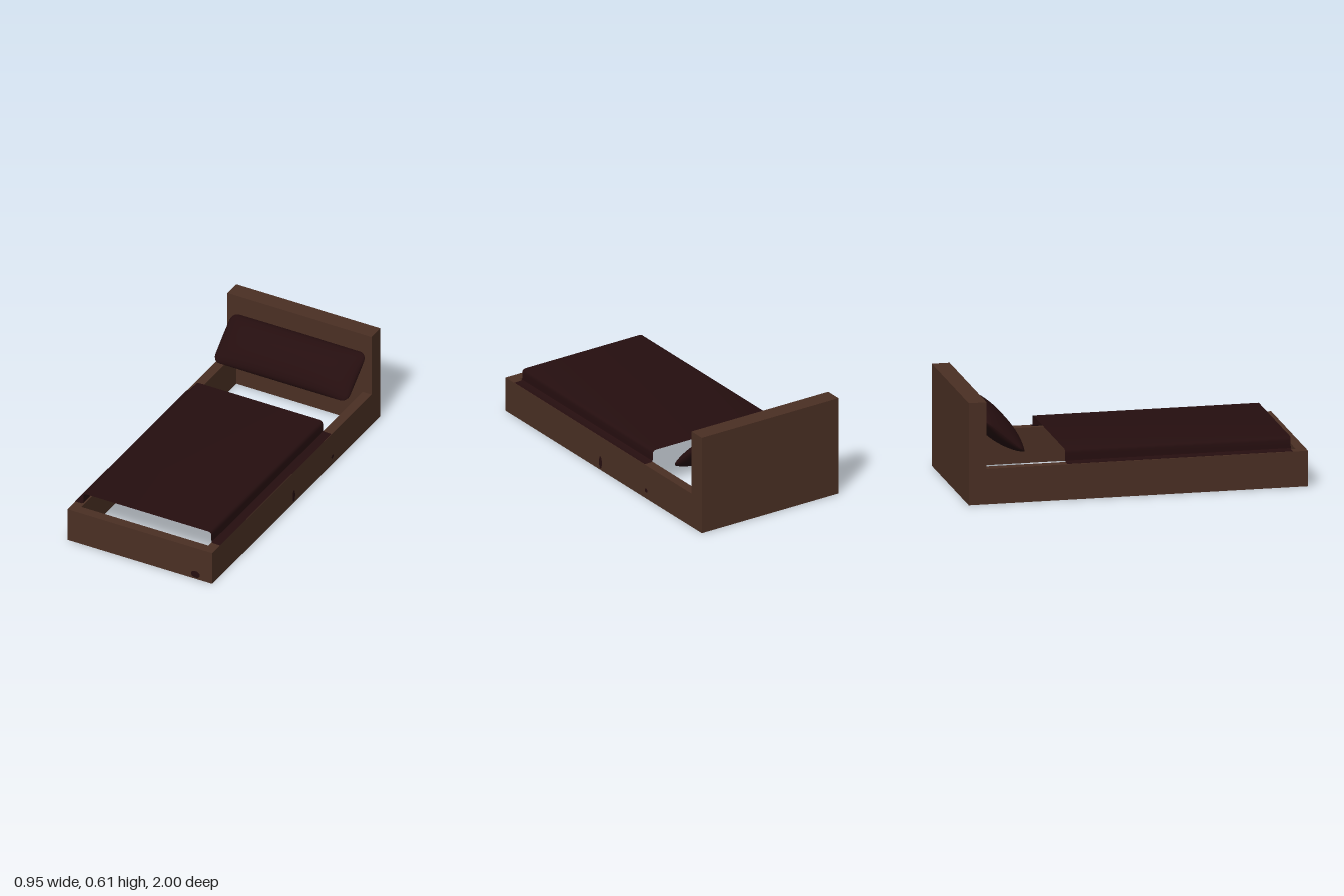
import * as THREE from 'three';
import { toCreasedNormals } from 'three/addons/utils/BufferGeometryUtils.js';

export function createModel() {
  const bed = new THREE.Group();
  bed.name = 'bed';
  const wood = new THREE.MeshStandardMaterial({ color: 0x4a2f23 });
  wood.name = 'brown wood';
  const cloth = new THREE.MeshStandardMaterial({ color: 0x250e0f, side: THREE.DoubleSide });
  cloth.name = 'dark maroon cloth';

  const add = (name, geometry, material, parent = bed) => {
    const mesh = new THREE.Mesh(geometry, material);
    mesh.name = name;
    parent.add(mesh);
    return mesh;
  };
  const board = (name, w, h, d, x, z) =>
    add(name, new THREE.BoxGeometry(w, h, d), wood).position.set(x, h / 2, z);

  // Frame: open underneath, with a tall headboard
  board('headboard', 0.95, 0.605, 0.105, 0, -0.9475);
  board('footboard', 0.95, 0.21, 0.06, 0, 0.97);
  for (const side of [-1, 1])
    board(side > 0 ? 'leftRail' : 'rightRail', 0.058, 0.21, 1.835, side * 0.446, 0.0225);

  // Blanket: a single sheet, raised in the middle and folded flat over the rails
  const half = [[0.475, 0.212], [0.43, 0.213], [0.421, 0.218], [0.42, 0.23],
    [0.42, 0.262], [0.417, 0.274], [0.41, 0.281], [0.398, 0.284]];
  const profile = [
    ...half.map(([x, y]) => [-x, y]),
    ...half.slice().reverse(),
  ];
  const sheet = new THREE.PlaneGeometry(1, 1.33, profile.length - 1, 1);
  sheet.rotateX(-Math.PI / 2);
  const sp = sheet.attributes.position;
  for (let i = 0; i < sp.count; i++) {
    const [x, y] = profile[i % profile.length];
    sp.setXYZ(i, x, y, sp.getZ(i) + 0.245);
  }
  add('blanket', toCreasedNormals(sheet, 0.9), cloth);

  // Pillow: two domed faces meeting at a flat rounded seam
  const pillow = new THREE.Group();
  pillow.name = 'pillow';
  const L = 0.443, W = 0.155, T = 0.075, R = 0.045;
  for (const side of [1, -1]) {
    const g = new THREE.PlaneGeometry(2, 2, 40, 20);
    g.rotateX(-side * Math.PI / 2);
    const p = g.attributes.position;
    for (let i = 0; i < p.count; i++) {
      const u = Math.sin(p.getX(i) * Math.PI / 2);
      const v = Math.sin(p.getZ(i) * Math.PI / 2);
      const over = Math.max(0, Math.abs(v) * W - (W - R));
      const inset = R - Math.sqrt(Math.max(0, R * R - over * over));
      const t = T * Math.sqrt(Math.max(0, (1 - Math.abs(u) ** 3) * (1 - v * v)));
      p.setXYZ(i, u * (L - inset), side * t, v * W);
    }
    g.computeVertexNormals();
    add(side > 0 ? 'pillowFront' : 'pillowBack', g, cloth, pillow);
  }
  pillow.rotation.x = 40 * Math.PI / 180;
  pillow.position.set(0.003, 0.383, -0.775);
  bed.add(pillow);

  // Small bits of cloth showing through the frame
  const spot = (name, sx, sy, sz, x, y, z) => {
    const m = add(name, new THREE.SphereGeometry(1, 16, 10), cloth);
    m.scale.set(sx, sy, sz);
    m.position.set(x, y, z);
  };
  spot('sideTuck', 0.002, 0.045, 0.018, 0.474, 0.047, 0.033);
  spot('sideSpot', 0.002, 0.014, 0.016, 0.474, 0.05, -0.433);
  spot('footSpot', 0.035, 0.026, 0.002, 0.365, 0.03, 0.999);

  return bed;
}
